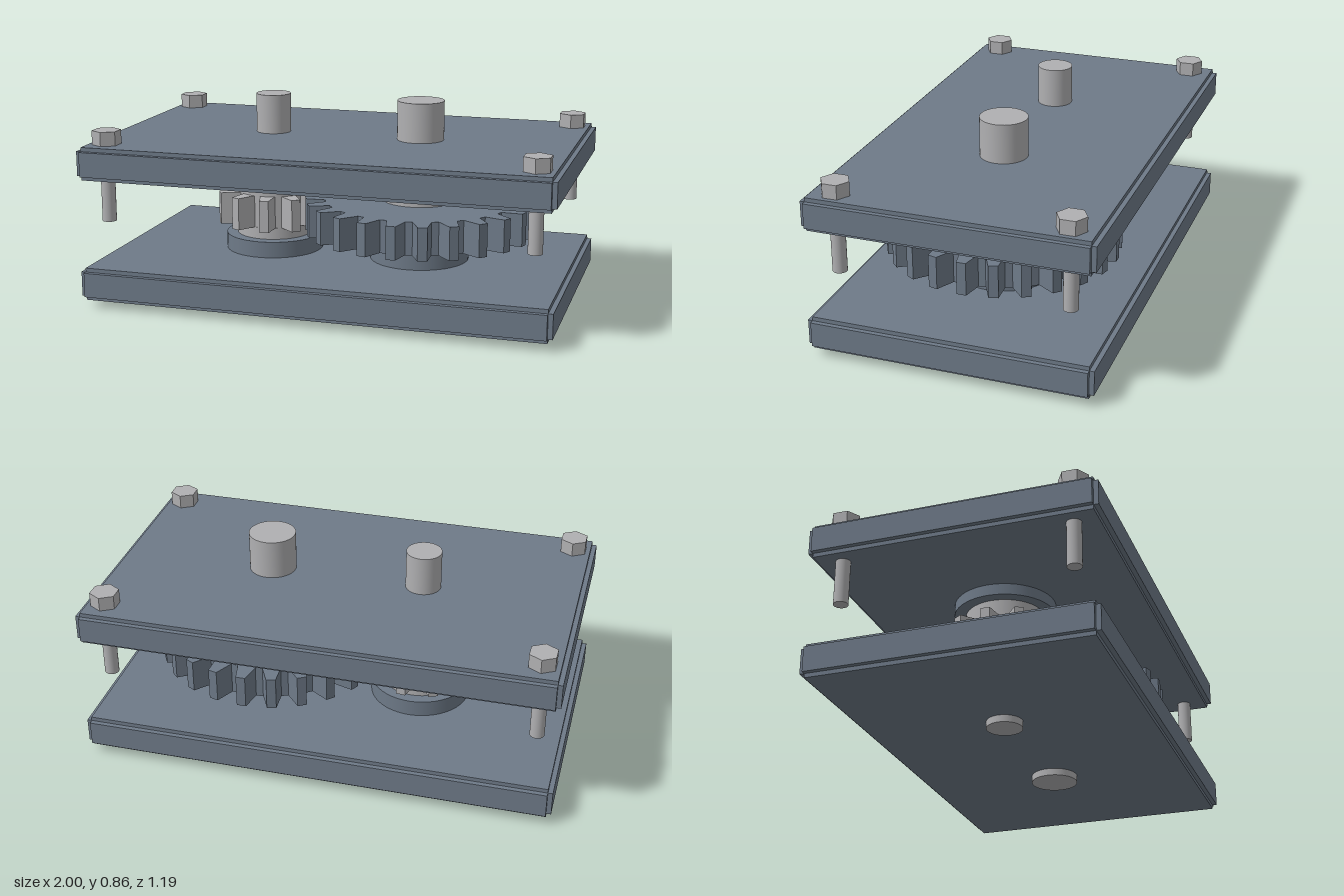
import * as THREE from 'three';

const mat = (name, color) => {
  const m = new THREE.MeshStandardMaterial({ color });
  m.name = name;
  return m;
};

export function createModel() {
  const slate = mat('slate', 0x6e7a88);
  const steel = mat('steel', 0xb0b0b2);
  const violet = mat('violet', 0x6266b2);

  const model = new THREE.Group();
  model.name = 'gearbox';

  const add = (parent, name, geometry, material, x = 0, y = 0, z = 0) => {
    const mesh = new THREE.Mesh(geometry, material);
    mesh.name = name;
    mesh.position.set(x, y, z);
    parent.add(mesh);
    return mesh;
  };

  // Upright cylinder between two heights
  const post = (parent, name, r, y0, y1, material, x, z = 0, sides = 48) =>
    add(parent, name, new THREE.CylinderGeometry(r, r, y1 - y0, sides), material, x, (y0 + y1) / 2, z);

  // Plate with stepped edges on all sides
  const plate = (name, y) => {
    const g = new THREE.Group();
    g.name = name;
    add(g, 'plateCore', new THREE.BoxGeometry(1.96, 0.14, 1.15), slate);
    add(g, 'plateEndEdges', new THREE.BoxGeometry(2, 0.105, 1.15), slate);
    add(g, 'plateSideEdges', new THREE.BoxGeometry(1.96, 0.105, 1.19), slate);
    g.position.y = y;
    model.add(g);
  };
  plate('bottomPlate', 0.1);
  plate('topPlate', 0.62);

  // Gear with tapered teeth; half angles are in degrees
  const gearGeometry = (teeth, rootR, tipR, rootHalf, tipHalf, boreR, start) => {
    const shape = new THREE.Shape();
    const pt = (r, a) => new THREE.Vector2(r * Math.cos(a), r * Math.sin(a));
    const rad = Math.PI / 180;
    const points = [];
    for (let i = 0; i < teeth; i++) {
      const a = start + (i / teeth) * Math.PI * 2;
      points.push(pt(rootR, a - rootHalf * rad), pt(tipR, a - tipHalf * rad),
        pt(tipR, a + tipHalf * rad), pt(rootR, a + rootHalf * rad));
    }
    shape.setFromPoints(points);
    const bore = new THREE.Path();
    bore.absarc(0, 0, boreR, 0, Math.PI * 2, true);
    shape.holes.push(bore);
    const g = new THREE.ExtrudeGeometry(shape, { depth: 0.14, bevelEnabled: false, curveSegments: 24 });
    return g.rotateX(-Math.PI / 2);
  };

  const smallX = -0.333, largeX = 0.328;
  add(model, 'smallGear', gearGeometry(11, 0.163, 0.247, 11.5, 4.6, 0.075, Math.PI), steel, smallX, 0.29);
  add(model, 'largeGear', gearGeometry(24, 0.408, 0.493, 5.4, 2.3, 0.1, 0), slate, largeX, 0.29);

  // Shaft, bearings and spacers for each gear
  const axle = (prefix, x, shaftR, lowerSpacer) => {
    post(model, prefix + 'Shaft', shaftR, 0, 0.858, steel, x);
    post(model, prefix + 'LowerBearing', 0.213, 0.16, 0.24, slate, x);
    post(model, prefix + 'UpperBearing', 0.213, 0.502, 0.56, slate, x);
    post(model, prefix + 'LowerSpacer', 0.165, 0.235, 0.29, lowerSpacer, x);
    post(model, prefix + 'UpperSpacer', 0.165, 0.43, 0.51, steel, x);
  };
  axle('small', smallX, 0.075, steel);
  axle('large', largeX, 0.1, violet);

  // Hex bolts at the corners of the top plate
  for (const sx of [-1, 1]) for (const sz of [-1, 1]) {
    const bolt = new THREE.Group();
    bolt.name = 'bolt';
    const head = post(bolt, 'boltHead', 0.061, 0.685, 0.75, steel, 0, 0, 6);
    head.geometry = head.geometry.toNonIndexed();
    head.geometry.computeVertexNormals();
    post(bolt, 'boltShank', 0.03, 0.36, 0.69, steel, 0, 0, 24);
    bolt.position.set(sx * 0.907, 0, sz * 0.477);
    model.add(bolt);
  }

  return model;
}
